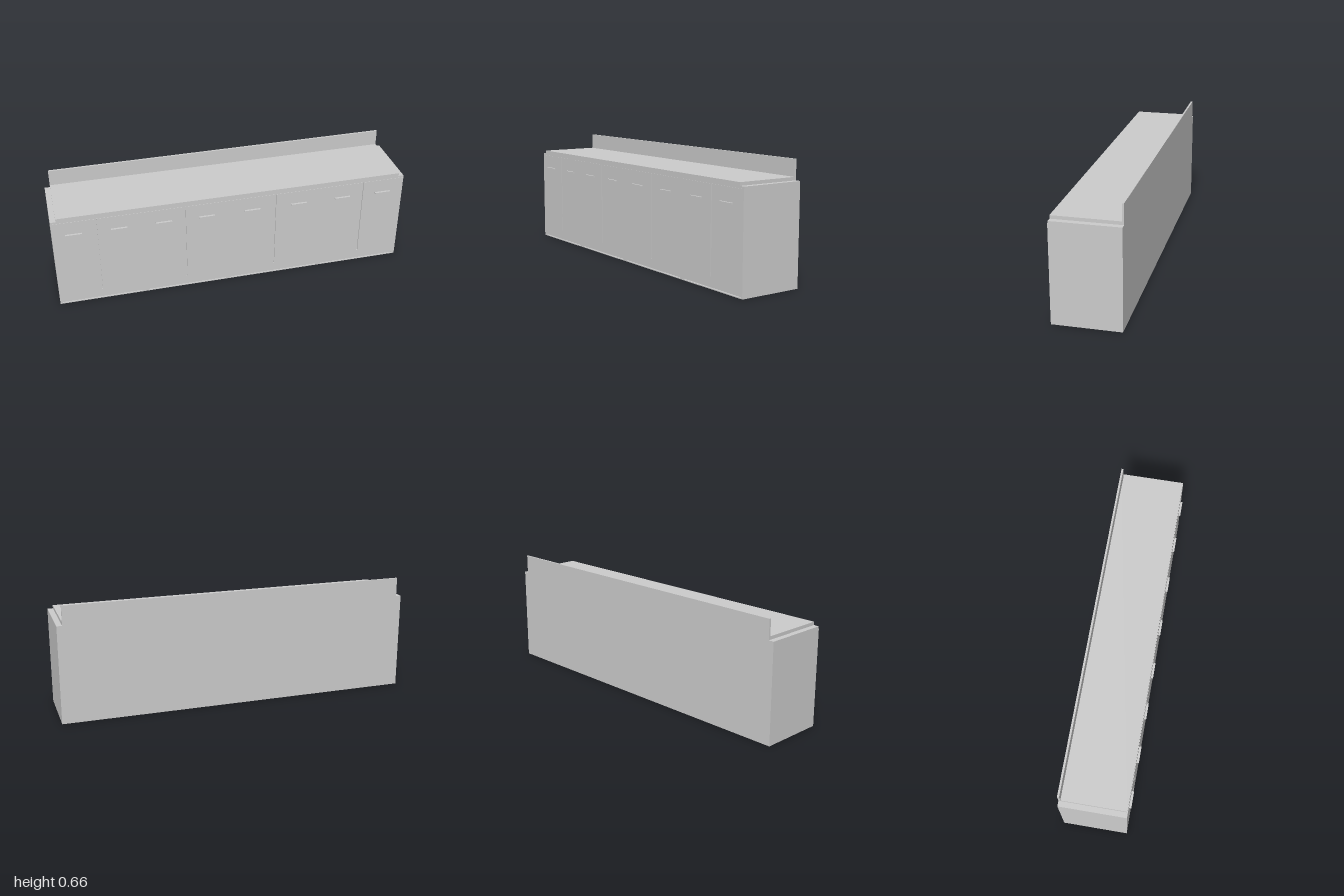
import * as THREE from 'three';

export function createModel() {
  const group = new THREE.Group();
  group.name = 'cabinetCounter';
  const material = new THREE.MeshStandardMaterial({ color: 0xcccccc });

  // Box given by its minimum and maximum on each axis
  function box(name, x0, x1, y0, y1, z0, z1) {
    const mesh = new THREE.Mesh(new THREE.BoxGeometry(x1 - x0, y1 - y0, z1 - z0), material);
    mesh.position.set((x0 + x1) / 2, (y0 + y1) / 2, (z0 + z1) / 2);
    mesh.name = name;
    group.add(mesh);
  }

  const back = -0.188, front = 0.175, face = 0.177;

  // Carcass, with its front set back behind the door gaps and toe slots
  box('carcass', -1, 1, 0.012, 0.547, back, 0.17);
  box('topRail', -1, 1, 0.535, 0.547, 0.17, front);

  // Base with four shallow toe slots along the front
  box('base', -1, 1, 0, 0.012, back, 0.165);
  const dividers = [[-1, -0.985], [-0.53, -0.5], [-0.045, -0.015], [0.5, 0.53], [0.985, 1]];
  for (const [a, b] of dividers) box('toeDivider', a, b, 0, 0.012, 0.165, front);
  for (let i = 0; i < 4; i++) {
    box('toeStrip', dividers[i][1], dividers[i + 1][0], 0, 0.005, 0.165, front);
  }

  // Worktop and upstand
  box('worktop', -0.97, 0.97, 0.547, 0.565, back, front);
  box('backsplash', -0.97, 0.97, 0.565, 0.655, back, -0.177);

  // Front panels separated by narrow grooves, above a plain bottom rail
  box('bottomRail', -1, 1, 0.012, 0.065, 0.17, face);
  const grooves = [-0.76, -0.275, 0.24, 0.757];
  const gap = 0.003;
  const edges = [-1 - gap, ...grooves, 1 + gap];
  for (let i = 0; i < edges.length - 1; i++) {
    box('doorPanel', edges[i] + gap, edges[i + 1] - gap, 0.065, 0.535, 0.17, face);
  }

  // Bar handles
  for (const x of [-0.885, -0.64, -0.395, -0.155, 0.105, 0.375, 0.635, 0.877]) {
    box('handle', x - 0.045, x + 0.045, 0.452, 0.46, face - 0.002, 0.189);
  }

  return group;
}
